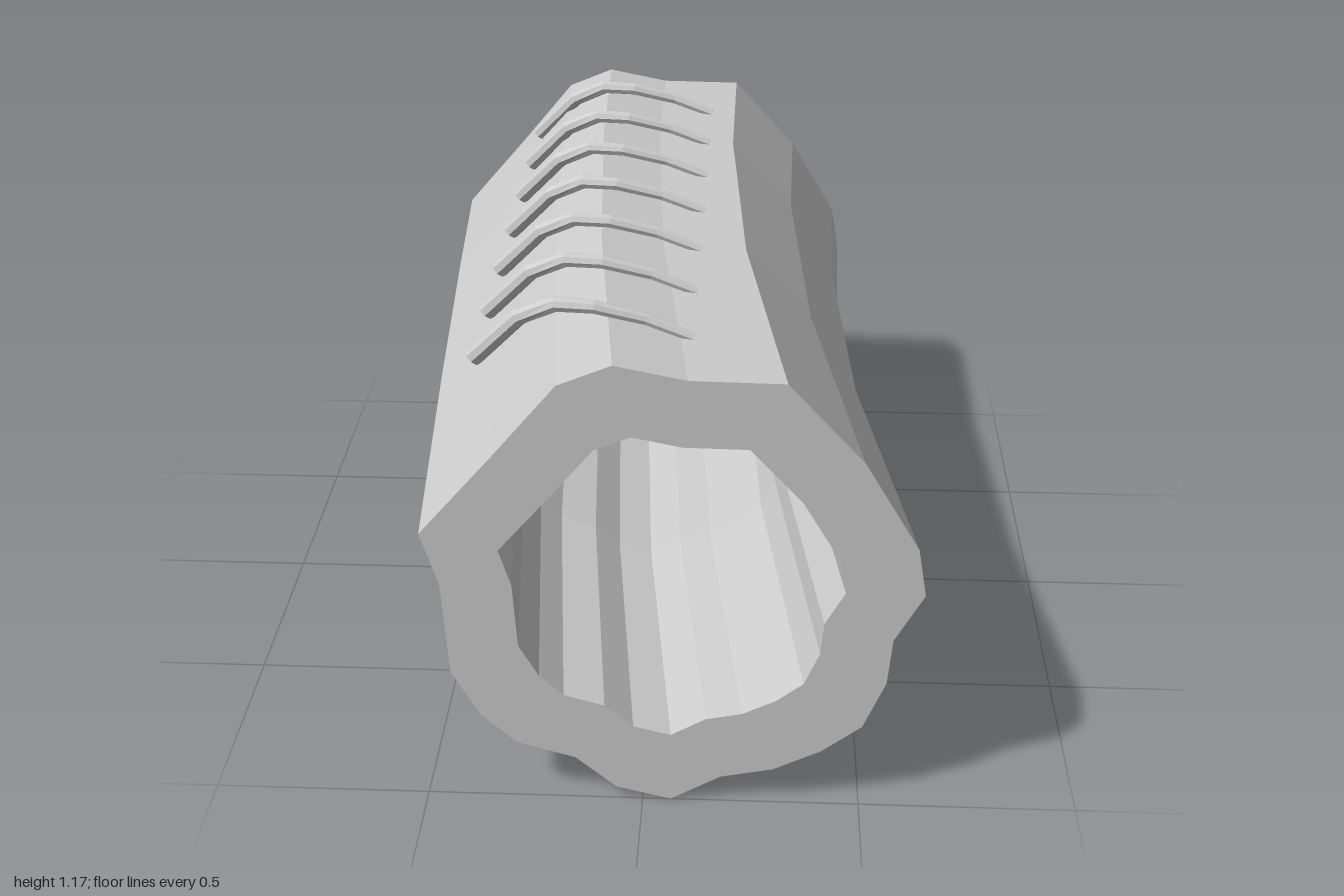
import * as THREE from 'three';

const material = new THREE.MeshStandardMaterial({ color: 0xcccccc, flatShading: true });

// Skin a list of closed rings, each turning right-handed about the direction of travel
function loft(rings, name) {
  const n = rings[0].length;
  const index = [];
  for (let i = 0; i < rings.length - 1; i++) {
    for (let j = 0; j < n; j++) {
      const k = (j + 1) % n;
      const a = i * n + j, b = a + n, c = i * n + k, d = c + n;
      index.push(a, c, b, c, d, b);
    }
  }
  const indexed = new THREE.BufferGeometry().setFromPoints(rings.flat());
  indexed.setIndex(index);
  const geometry = indexed.toNonIndexed();
  geometry.computeVertexNormals();
  const mesh = new THREE.Mesh(geometry, material);
  mesh.name = name;
  return mesh;
}

// Outer outline of the tube at its front end, clockwise from the top ridge
const outline = [
  [-0.06, 1.12], [0.1, 1.088], [0.31, 1.085], [0.48, 0.9], [0.605, 0.69], [0.625, 0.573],
  [0.56, 0.455], [0.55, 0.34], [0.5, 0.22], [0.41, 0.15], [0.3, 0.095], [0.18, 0.07],
  [0.065, 0.003], [-0.06, 0.033], [-0.155, 0.113], [-0.29, 0.152], [-0.37, 0.225],
  [-0.435, 0.34], [-0.45, 0.573], [-0.49, 0.7], [-0.32, 0.9], [-0.18, 1.07],
];
const bore = outline.map(([x, y]) => [0.065 + (x - 0.065) * 0.6875, 0.58 + (y - 0.58) * 0.6875]);

// Stations along the length: z and size; the top left edge stays straight while the waist narrows
const stations = [[1, 1], [0.28, 0.942], [-0.47, 0.952], [-1, 1]];

function section(profile, [z, size]) {
  const left = -0.56 + 0.07 * z;
  return profile.map(([x, y]) =>
    new THREE.Vector3(left + (x + 0.49) * size, 1.12 - (1.12 - y) * size, z));
}

// Tapered, closed stitch following a bent path across the ridge
function stitch() {
  const path = [
    [-0.395, 0.99, -0.045], [-0.285, 1.108, -0.01], [-0.2, 1.153, 0.018],
    [-0.115, 1.151, 0.025], [0, 1.124, 0.025], [0.105, 1.088, 0.038],
  ].map((p) => new THREE.Vector3(...p));
  const last = path.length - 1;
  const ring = (i, radius) => {
    const t = path[Math.min(i + 1, last)].clone().sub(path[Math.max(i - 1, 0)]).normalize();
    const u = new THREE.Vector3(0, 0, 1).addScaledVector(t, -t.z).normalize();
    const v = t.clone().cross(u);
    return Array.from({ length: 8 }, (_, j) => {
      const angle = (j / 8) * Math.PI * 2;
      return path[i].clone()
        .addScaledVector(u, radius * Math.cos(angle))
        .addScaledVector(v, radius * Math.sin(angle));
    });
  };
  const body = path.map((_, i) => ring(i, 0.022 - 0.002 * i));
  return loft([ring(0, 0), ...body, ring(last, 0)], 'stitch');
}

export function createModel() {
  const group = new THREE.Group();
  group.name = 'stitchedTube';

  // Outer wall, back rim, bore and front rim as one closed skin
  const outer = stations.map((s) => section(outline, s));
  const inner = stations.map((s) => section(bore, s)).reverse();
  group.add(loft([...outer, ...inner, outer[0]], 'tubeWall'));

  // Row of stitches along the top
  const stitches = new THREE.Group();
  stitches.name = 'stitches';
  const first = stitch();
  for (let i = 0; i < 7; i++) {
    const copy = first.clone();
    copy.position.z = 0.747 - 0.25 * i;
    stitches.add(copy);
  }
  group.add(stitches);
  return group;
}
